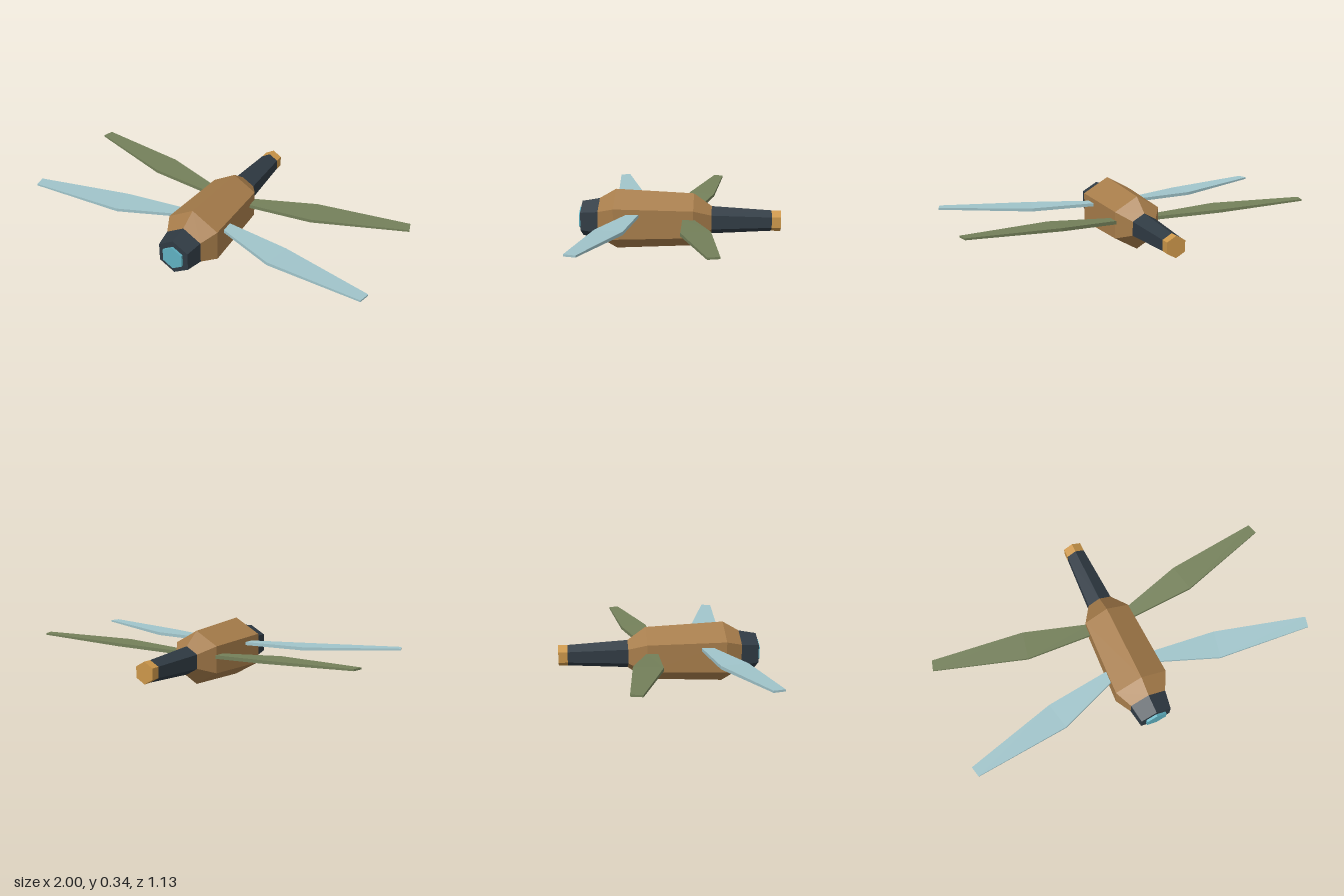
import * as THREE from 'three';

const AXIS_Y = 0.174; // height of the body's long axis

function material(name, color) {
  const m = new THREE.MeshStandardMaterial({ color, flatShading: true });
  m.name = name;
  return m;
}

// Six-sided hull along z from [z, radius] rings listed back to front
function hull(name, rings, mat) {
  const points = rings.map(([z, r]) => new THREE.Vector2(r, z));
  const geo = new THREE.LatheGeometry(points, 6);
  geo.rotateX(Math.PI / 2);
  geo.translate(0, AXIS_Y, 0);
  const mesh = new THREE.Mesh(geo, mat);
  mesh.name = name;
  return mesh;
}

// Wing blade: a box bent to three stations (root, middle, tip).
// front and back are [x, z] of the edges; y is the mid height; t the thickness.
function wing(name, stations, side, mat) {
  const geo = new THREE.BoxGeometry(2, 1, 1, 2, 1, 1);
  const pos = geo.attributes.position;
  for (let i = 0; i < pos.count; i++) {
    const s = stations[Math.round(side * pos.getX(i)) + 1];
    const [x, z] = pos.getZ(i) > 0 ? s.front : s.back;
    pos.setXYZ(i, side * x, s.y + pos.getY(i) * s.t, z);
  }
  geo.computeVertexNormals();
  const mesh = new THREE.Mesh(geo, mat);
  mesh.name = name;
  return mesh;
}

export function createModel() {
  const brown = material('brown', 0xa67c4a);
  const slate = material('slate', 0x2f3a43);
  const amber = material('amber', 0xcb9649);
  const teal = material('teal', 0x5fb0c0);
  const paleBlue = material('paleBlue', 0xa0c4ca);
  const olive = material('olive', 0x74805a);

  const model = new THREE.Group();
  model.name = 'dragonfly';

  // Body, head, eye and tail
  model.add(
    hull('body', [[-0.18, 0.079], [-0.08, 0.151], [0.36, 0.172], [0.453, 0.118]], brown),
    hull('head', [[0.453, 0.118], [0.553, 0.1], [0.553, 0]], slate),
    hull('eye', [[0.553, 0.066], [0.566, 0.066], [0.566, 0]], teal),
    hull('tail', [[-0.515, 0.059], [-0.18, 0.079]], slate),
    hull('tailTip', [[-0.566, 0], [-0.566, 0.059], [-0.515, 0.059]], amber),
  );

  // Two pairs of wings
  const frontWing = [
    { front: [0.1, 0.27], back: [0.1, 0.215], y: 0.222, t: 0.018 },
    { front: [0.465, 0.41], back: [0.5, 0.26], y: 0.218, t: 0.018 },
    { front: [0.985, 0.462], back: [1, 0.403], y: 0.242, t: 0.01 },
  ];
  const rearWing = [
    { front: [0.1, -0.019], back: [0.1, -0.08], y: 0.189, t: 0.02 },
    { front: [0.5, -0.031], back: [0.47, -0.185], y: 0.217, t: 0.018 },
    { front: [1, -0.178], back: [0.985, -0.236], y: 0.242, t: 0.01 },
  ];
  for (const [label, side] of [['Left', 1], ['Right', -1]]) {
    model.add(
      wing('frontWing' + label, frontWing, side, paleBlue),
      wing('rearWing' + label, rearWing, side, olive),
    );
  }
  return model;
}
